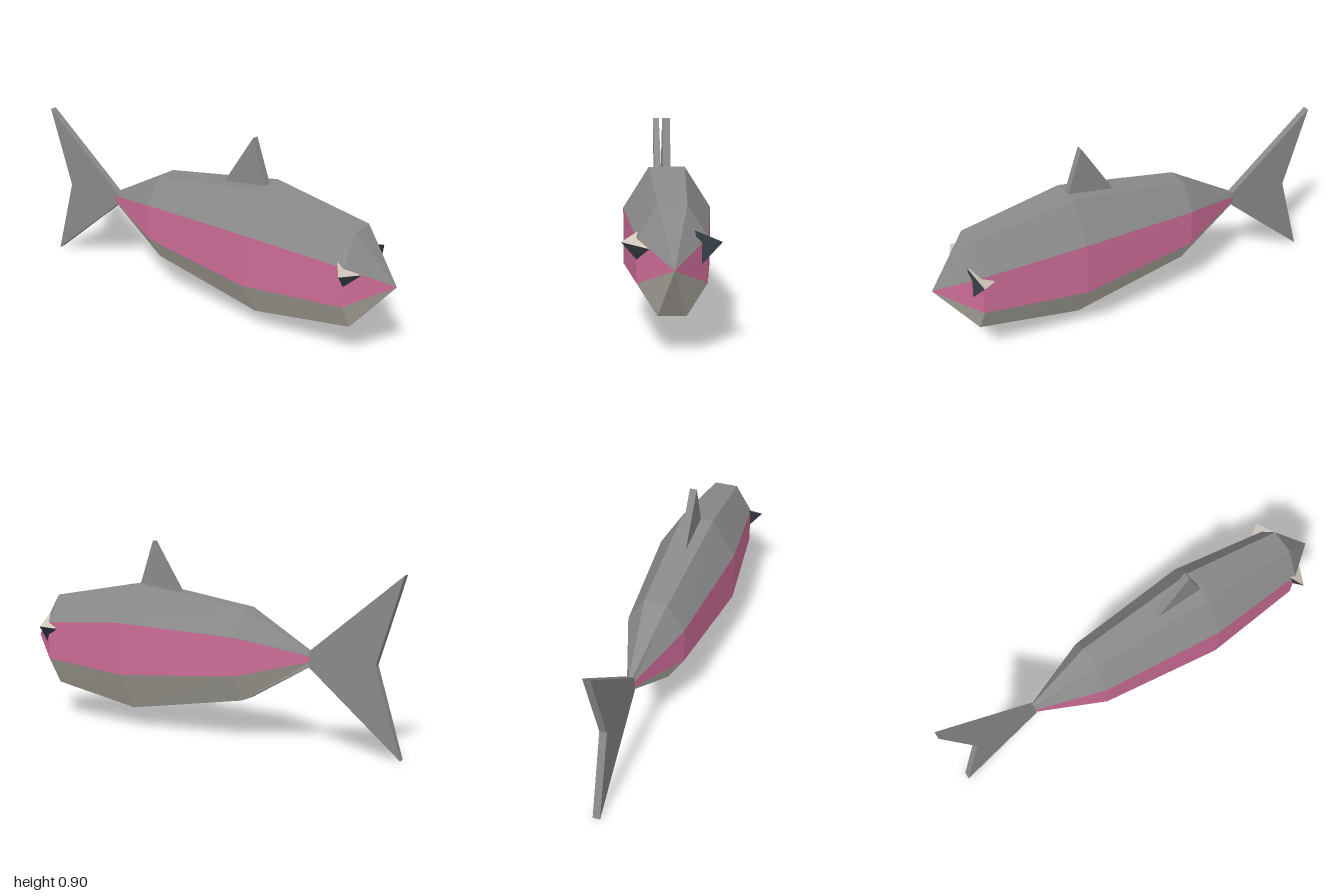
import * as THREE from 'three';

const mat = (name, color, extra = {}) => {
  const m = new THREE.MeshStandardMaterial({ color, ...extra });
  m.name = name;
  return m;
};

// Flat-shaded mesh from a list of corner vectors, three per triangle
function facets(name, corners, material) {
  const geo = new THREE.BufferGeometry().setFromPoints(corners);
  geo.computeVertexNormals();
  const mesh = new THREE.Mesh(geo, material);
  mesh.name = name;
  return mesh;
}

// Thin upright fin from a (z, y) outline
function fin(name, outline, material) {
  const thickness = 0.034;
  const shape = new THREE.Shape(outline.map(([z, y]) => new THREE.Vector2(z, y)));
  const geo = new THREE.ExtrudeGeometry(shape, { depth: thickness, bevelEnabled: false });
  geo.translate(0, 0, -thickness / 2).rotateY(-Math.PI / 2);
  const mesh = new THREE.Mesh(geo, material);
  mesh.name = name;
  return mesh;
}

// Four-cornered eye: the face a-b-c is pale, the others dark
function eye(name, points, pale, dark) {
  const [a, b, c, d] = points.map((p) => new THREE.Vector3(...p));
  const centre = new THREE.Vector3().add(a).add(b).add(c).add(d).multiplyScalar(0.25);
  const outward = (p, q, r) => {
    const n = q.clone().sub(p).cross(r.clone().sub(p));
    return n.dot(p.clone().sub(centre)) > 0 ? [p, q, r] : [p, r, q];
  };
  const group = new THREE.Group();
  group.name = name;
  group.add(
    facets(name + 'White', outward(a, b, c), pale),
    facets(name + 'Dark', [...outward(a, b, d), ...outward(b, c, d), ...outward(c, a, d)], dark)
  );
  return group;
}

export function createModel() {
  const grey = mat('back grey', 0x8a8a8a);
  const pink = mat('side pink', 0xcc6c96);
  const cream = mat('belly cream', 0xbcb8ae);
  const pale = mat('eye white', 0xcfc6ba);
  const dark = mat('eye slate', 0x394148);

  const model = new THREE.Group();
  model.name = 'fish';

  // Body sections: z, half width, top half width, bottom, side low, side high, top
  const sections = [
    [1.0, 0, 0, 0.4, 0.4, 0.4, 0.4],
    [0.82, 0.14, 0.058, 0.172, 0.305, 0.49, 0.622],
    [0.34, 0.19, 0.078, 0.094, 0.272, 0.522, 0.7],
    [-0.25, 0.135, 0.055, 0.188, 0.312, 0.487, 0.61],
    [-0.57, 0.017, 0.008, 0.368, 0.388, 0.415, 0.435],
    [-0.57, 0, 0, 0.4, 0.4, 0.4, 0.4],
  ];
  const rings = sections.map(([z, w, t, bottom, low, high, top]) =>
    [[w, low], [w, high], [t, top], [-t, top], [-w, high], [-w, low], [-t, bottom], [t, bottom]]
      .map(([x, y]) => new THREE.Vector3(x, y, z)));

  // Each colour covers a set of lengthwise strips
  const strips = [
    ['back', [1, 2, 3], grey],
    ['sideStripes', [0, 4], pink],
    ['belly', [5, 6, 7], cream],
  ];
  for (const [name, columns, material] of strips) {
    const corners = [];
    for (let i = 0; i < rings.length - 1; i++) {
      for (const j of columns) {
        const k = (j + 1) % 8;
        const [a, b, c, d] = [rings[i][j], rings[i][k], rings[i + 1][k], rings[i + 1][j]];
        if (i > 0) corners.push(a, c, b);
        if (i < rings.length - 2) corners.push(a, d, c);
        else corners.push(a, d, b);
      }
    }
    model.add(facets(name, corners, material));
  }

  // Fins
  model.add(
    fin('dorsalFin', [[0.34, 0.69], [0.265, 0.905], [0.105, 0.655]], grey),
    fin('tailFin', [[-0.565, 0.435], [-1, 0.79], [-0.88, 0.4], [-1, 0], [-0.565, 0.368]], grey)
  );

  // Eyes, each turned its own way
  model.add(
    eye('leftEye', [[0.085, 0.525, 0.86], [0.197, 0.472, 0.83], [0.15, 0.46, 0.765], [0.113, 0.388, 0.855]], pale, dark),
    eye('rightEye', [[-0.2, 0.475, 0.83], [-0.075, 0.455, 0.89], [-0.135, 0.508, 0.785], [-0.14, 0.402, 0.82]], pale, dark)
  );
  return model;
}
